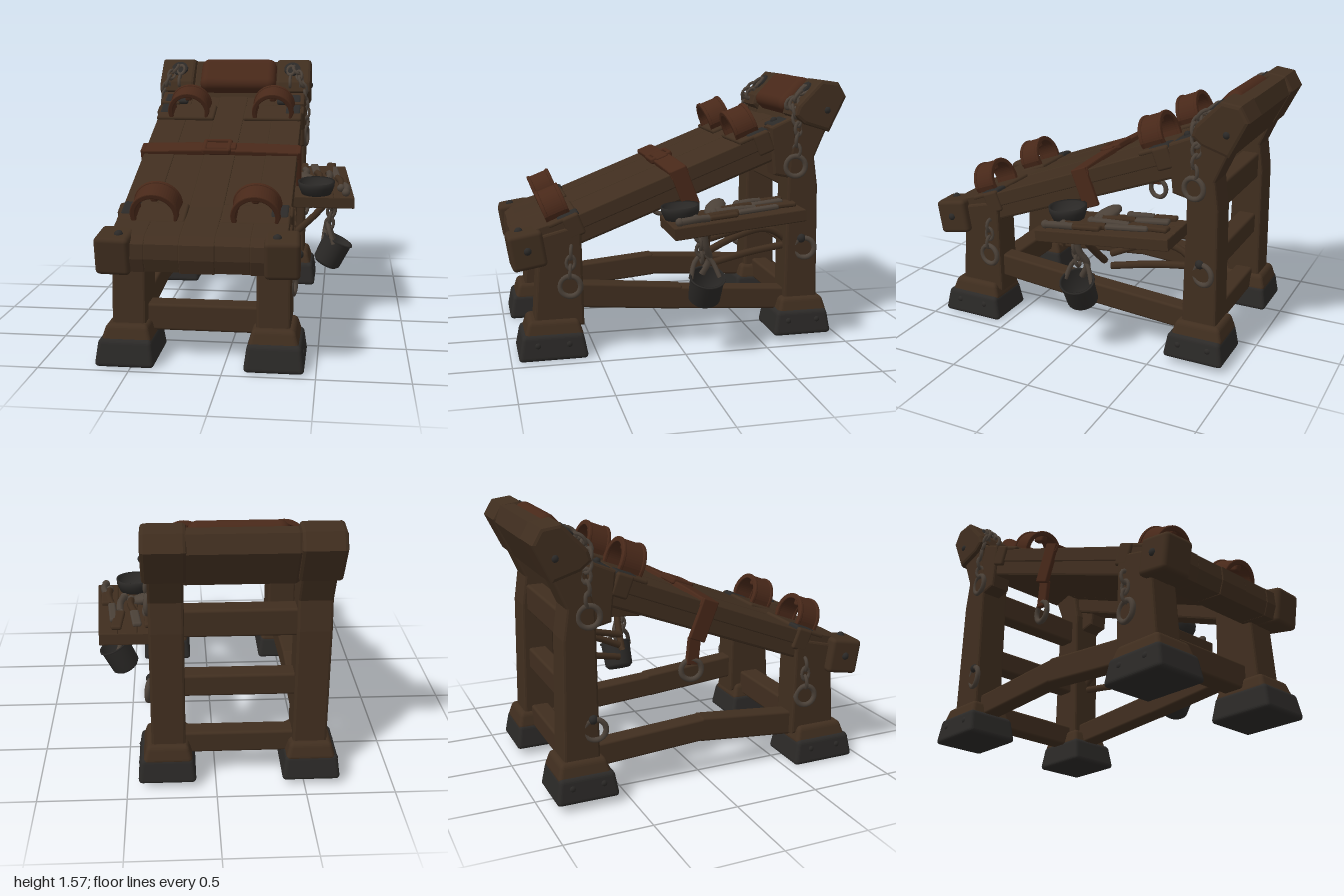
import * as THREE from 'three';
import { RoundedBoxGeometry } from 'three/addons/geometries/RoundedBoxGeometry.js';

const mat = (color) => new THREE.MeshStandardMaterial({ color, side: THREE.DoubleSide });
const WOOD = mat(0x402e1f), LEATHER = mat(0x482819), IRON = mat(0x2b2927), STEEL = mat(0x4b4138);
const CX = -0.13;      // centre line of the bench
const TILT = 0.374;    // slope of the deck

function add(parent, name, geo, material, x = 0, y = 0, z = 0, rx = 0, ry = 0, rz = 0) {
  const m = new THREE.Mesh(geo, material);
  m.name = name;
  m.position.set(x, y, z);
  m.rotation.set(rx, ry, rz);
  parent.add(m);
  return m;
}

const box = (w, h, d, r = 0.015) => new RoundedBoxGeometry(w, h, d, 2, Math.min(r, w / 2.1, h / 2.1, d / 2.1));
const knob = (r) => new THREE.SphereGeometry(r, 10, 8);

// Rounded box that narrows towards the top
function taperBox(w, h, d, sx, sz) {
  const g = new RoundedBoxGeometry(w, h, d, 3, 0.025), p = g.attributes.position;
  for (let i = 0; i < p.count; i++) {
    const t = p.getY(i) / h + 0.5;
    p.setX(i, p.getX(i) * (1 + (sx - 1) * t));
    p.setZ(i, p.getZ(i) * (1 + (sz - 1) * t));
  }
  g.computeVertexNormals();
  return g;
}

function extrude(shape, depth, bevel) {
  const g = new THREE.ExtrudeGeometry(shape, {
    depth: depth - 2 * bevel, bevelEnabled: true, bevelSize: bevel, bevelThickness: bevel,
    bevelOffset: -bevel, bevelSegments: 2, curveSegments: 14,
  });
  return g.translate(0, 0, bevel - depth / 2);
}

const poly = (pts) => new THREE.Shape(pts.map(([a, b]) => new THREE.Vector2(a, b)));

// Side outline given as [z, y], given a width along x
const sideProfile = (pts, width, bevel = 0.014) => extrude(poly(pts), width, bevel).rotateY(-Math.PI / 2);

const lathe = (pts) => new THREE.LatheGeometry(pts.map(([a, b]) => new THREE.Vector2(a, b)), 24);
const curve = (pts) => new THREE.CatmullRomCurve3(pts.map((p) => new THREE.Vector3(...p)));
const rod = (pts, r) => new THREE.TubeGeometry(curve(pts), 18, r, 7);
const ringGeo = () => new THREE.TorusGeometry(0.06, 0.016, 8, 22);

// Beam with a rectangular section between two points lying in one zy plane
function beam(parent, name, x, a, b, w, h) {
  const dz = b[0] - a[0], dy = b[1] - a[1];
  add(parent, name, box(w, h, Math.hypot(dz, dy)), WOOD, x, (a[1] + b[1]) / 2, (a[0] + b[0]) / 2, -Math.atan2(dy, dz));
}

// Links strung along a path, ending in an optional ring
function chain(parent, name, pts, count, ring) {
  const g = new THREE.Group(), c = curve(pts), up = new THREE.Vector3(0, 1, 0);
  g.name = name;
  for (let i = 0; i < count; i++) {
    const t = (i + 0.5) / count;
    const m = add(g, 'link', new THREE.TorusGeometry(0.028, 0.011, 6, 12).scale(0.9, 1.3, 1), STEEL, ...c.getPoint(t).toArray());
    m.quaternion.setFromUnitVectors(up, c.getTangent(t)).multiply(
      new THREE.Quaternion().setFromAxisAngle(up, i % 2 ? Math.PI / 2 : 0.2));
  }
  if (ring) {
    const e = pts[pts.length - 1];
    add(g, 'ring', ringGeo(), STEEL, e[0], e[1] - 0.06, e[2], 0, Math.PI / 2 - 0.15);
  }
  parent.add(g);
}

function buildSide(root, s) {
  const side = new THREE.Group(), x = CX + s * 0.395;
  side.name = s > 0 ? 'leftFrame' : 'rightFrame';
  root.add(side);
  // Feet: dark boot, wooden collar, rivets
  for (const [z, y] of [[0.758, 0.005], [-0.748, 0.045]]) {
    const d = z > 0 ? 0.405 : 0.365;
    add(side, 'footBoot', taperBox(0.33, 0.15, d, 0.88, 0.86), IRON, CX + s * 0.405, y + 0.075, z);
    add(side, 'footCollar', taperBox(0.285, 0.1, d * 0.86, 0.8, 0.82), WOOD, CX + s * 0.4, y + 0.173, z - 0.008);
    for (const o of [-0.09, 0.09]) add(side, 'footRivet', knob(0.024), IRON, CX + s * 0.542, y + 0.09, z + o);
  }
  // Legs
  add(side, 'frontLeg', sideProfile([[0.86, 0.18], [0.82, 0.72], [0.58, 0.78], [0.57, 0.18]], 0.185), WOOD, x, 0, 0);
  add(side, 'backLeg', sideProfile([[-0.65, 0.2], [-0.66, 1.1], [-0.72, 1.38], [-0.85, 1.52], [-0.97, 1.47],
    [-0.82, 1.12], [-0.845, 0.95], [-0.86, 0.2]], 0.19), WOOD, x, 0, 0);
  add(side, 'headBlock', sideProfile([[-0.68, 1.37], [-0.7, 1.43], [-0.84, 1.575], [-0.95, 1.56], [-1, 1.475],
    [-0.9, 1.27], [-0.74, 1.32]], 0.235, 0.02), WOOD, CX + s * 0.4, 0, 0);
  add(side, 'headBolt', knob(0.024), IRON, CX + s * 0.505, 1.4, -0.88);
  add(side, 'shoulderBracket', sideProfile([[-0.54, 1.3], [-0.68, 1.36], [-0.74, 1.05], [-0.66, 1], [-0.57, 1.02]], 0.13), WOOD, CX + s * 0.42, 0, 0);
  add(side, 'deckRail', sideProfile([[0.82, 0.57], [0.9, 0.7], [0.55, 0.82], [-0.68, 1.31], [-0.7, 1.15], [0.55, 0.67]], 0.13), WOOD, CX + s * 0.4, 0, 0);
  // Front corner block with bolts
  add(side, 'cornerBlock', box(0.19, 0.21, 0.2, 0.025), WOOD, CX + s * 0.445, 0.645, 0.893, 0.16, s * 0.05);
  add(side, 'cornerBolt', knob(0.025), IRON, CX + s * 0.42, 0.74, 0.93);
  add(side, 'cornerBolt', knob(0.025), IRON, CX + s * 0.53, 0.65, 0.89);
  // Sagging lower rail
  const [f, b] = s > 0 ? [0.35, 0.245] : [0.235, 0.25];
  beam(side, 'lowerRail', x, [0.62, f], [-0.02, 0.295], 0.11, 0.145);
  beam(side, 'lowerRail', x, [0.02, 0.295], [-0.7, b], 0.11, 0.135);
  // Chains and rings
  const o = CX + s * 0.49;
  chain(side, 'frontChain', [[o, 0.65, 0.64], [o, 0.56, 0.645], [o, 0.48, 0.65]], 3, true);
  chain(side, 'backChain', [[CX + s * 0.41, 1.53, -0.79], [CX + s * 0.46, 1.43, -0.69],
    [o, 1.3, -0.71], [o, 1.13, -0.7]], 8, true);
  chain(side, 'headHook', [[CX + s * 0.38, 1.52, -0.77], [CX + s * 0.38, 1.4, -0.67]], 2, false);
  add(side, 'chainPeg', new THREE.CylinderGeometry(0.055, 0.06, 0.03, 14), IRON, CX + s * 0.39, 1.51, -0.78, 0.8);
  add(side, 'legRing', ringGeo(), STEEL, o, s > 0 ? 0.57 : 0.43, s > 0 ? -0.77 : -0.68, 0, 1.3);
  add(side, 'legStaple', knob(0.028), IRON, CX + s * 0.485, s > 0 ? 0.63 : 0.49, s > 0 ? -0.75 : -0.69);
}

// Arched leather cuff on an iron-bound plate
function buildCuff(deck, s, z) {
  const g = new THREE.Group();
  g.name = 'cuff';
  g.position.set(s * 0.275 + 0.015, -0.014, z);
  deck.add(g);
  const arch = (ro, ri) => {
    const sh = new THREE.Shape();
    sh.moveTo(ro * 0.93, -0.02);
    sh.absarc(0, 0.063, ro, 0, Math.PI, false);
    sh.lineTo(-ro * 0.93, -0.02);
    sh.lineTo(-ri * 0.93, -0.02);
    sh.absarc(0, 0.063, ri, Math.PI, 0, true);
    sh.lineTo(ri * 0.93, -0.02);
    return sh;
  };
  add(g, 'cuffBand', extrude(arch(0.13, 0.109), 0.145, 0.006), LEATHER);
  for (const e of [-0.062, 0.062]) add(g, 'cuffRim', extrude(arch(0.136, 0.105), 0.022, 0.006), LEATHER, 0, 0, e);
  add(g, 'cuffLug', box(0.045, 0.05, 0.09), LEATHER, 0, 0.155, 0);
  add(g, 'cuffPlate', box(0.38, 0.03, 0.19), WOOD, s * 0.01 - 0.015, 0.018, -0.015);
  add(g, 'cuffPlateIron', box(0.1, 0.036, 0.13), IRON, s * 0.14 - 0.015, 0.02, -0.05);
  add(g, 'cuffPlateFlap', box(0.03, 0.13, 0.1), WOOD, s * 0.198 - 0.015, -0.035, -0.06);
}

function buildDeck(root) {
  // Planks running over the nose of the bench
  const n = 5, w = 0.94 / n;
  for (let i = 0; i < n; i++) {
    const d = [0, -0.003, 0.002, -0.002, 0.001][i];
    add(root, 'deckPlank', sideProfile([[0.95 + d, 0.545 - d], [0.975 + d, 0.62], [0.97 + d, 0.7], [0.92, 0.738], [0.6, 0.83 + d],
      [-0.68 - d, 1.33 + d], [-0.7 - d, 1.25], [0.6, 0.74], [0.78, 0.555]], w + 0.004, 0.006), WOOD, CX - 0.47 + w * (i + 0.5), 0, 0);
  }
  const deck = new THREE.Group();
  deck.name = 'deckFittings';
  deck.position.set(CX, 1.065, 0);
  deck.rotation.x = TILT;
  root.add(deck);
  for (const s of [-1, 1]) {
    for (const z of [-0.465, 0.745]) buildCuff(deck, s, z);
    add(deck, 'deckCornerPlate', box(0.16, 0.03, 0.11), IRON, s * 0.38, 0.012, -0.665);
    add(deck, 'deckCornerRivet', knob(0.02), IRON, s * 0.36, 0.028, -0.66);
    // Belt end hanging beside the rail
    add(deck, 'beltEnd', box(0.03, 0.24, 0.1, 0.008), LEATHER, s * 0.478, -0.1, 0.01);
  }
  // Belt over the deck, with buckle
  const belt = new THREE.Shape();
  belt.moveTo(-0.49, -0.03);
  belt.lineTo(-0.48, 0.018);
  belt.quadraticCurveTo(0, 0.04, 0.48, 0.018);
  belt.lineTo(0.49, -0.03);
  add(deck, 'belt', extrude(belt, 0.11, 0.008), LEATHER, 0, 0, 0.01);
  add(deck, 'beltLoop', box(0.2, 0.02, 0.075), LEATHER, 0, 0.03, 0.01);
  for (const x of [-0.075, 0.075]) add(deck, 'buckleBar', box(0.03, 0.04, 0.14), LEATHER, x - 0.02, 0.025, 0.01);
  for (const z of [-0.05, 0.07]) add(deck, 'buckleBar', box(0.17, 0.04, 0.025), LEATHER, -0.02, 0.025, z);
  // Loose belt tail with a ring on the far side
  add(root, 'beltTail', box(0.03, 0.16, 0.075, 0.008), LEATHER, CX - 0.455, 0.79, -0.08, 0.1);
  add(root, 'beltTailRing', ringGeo(), STEEL, CX - 0.455, 0.68, -0.09, 0, 1.4);
}

function buildTray(root) {
  const tray = new THREE.Group();
  tray.name = 'toolTray';
  tray.position.set(0, 0.8, -0.28);
  tray.rotation.x = 0.08;
  root.add(tray);
  // Tapering planks: the outer edge widens towards the front
  const edge = (k) => [[0.32 + 0.105 * k, -0.39], [0.32 + 0.124 * k, 0.393]];
  for (let i = 0; i < 3; i++) {
    const [a, b] = edge(i), [c, d] = edge(i + 1);
    add(tray, 'trayPlank', extrude(poly([a, c, d, b]), 0.07, 0.006).rotateX(Math.PI / 2), WOOD);
  }
  add(tray, 'bowl', lathe([[0, 0.012], [0.085, 0.012], [0.098, 0.075], [0.112, 0.08], [0.11, 0.05], [0.09, 0], [0, 0]]),
    IRON, 0.46, 0.032, 0.3);
  add(tray, 'whetstone', new THREE.SphereGeometry(0.1, 12, 8).scale(1, 0.35, 0.6), STEEL, 0.4, 0.055, 0.08, 0, -0.6, -0.3);
  // Hand tools: handle and flat blade
  const tools = [[0.37, -0.2, 0.28, 0.05], [0.45, -0.12, 0.4, 0.12], [0.53, -0.12, 0.48, -0.05], [0.585, 0, 0.5, 0.1], [0.63, 0.18, 0.34, 0.06]];
  tools.forEach(([x, z, len, yaw], i) => {
    const g = new THREE.Group();
    g.name = 'handTool';
    g.position.set(x, 0.055, z);
    g.rotation.y = yaw;
    tray.add(g);
    add(g, 'toolHandle', rod([[0, 0, len * 0.5], [0.012, 0.006, len * 0.25], [0, 0, 0]], 0.021), i % 2 ? WOOD : STEEL);
    add(g, 'toolBlade', box(0.044 + 0.008 * (i % 3), 0.028, len * 0.5, 0.012), i % 2 ? STEEL : WOOD, 0, 0, -len * 0.25);
    add(g, 'toolEnd', knob(0.025), STEEL, 0, 0, len * 0.5);
  });
  // Bent struts behind and under the tray
  add(root, 'trayStrut', rod([[0.28, 0.77, -0.7], [0.29, 0.71, -0.45], [0.31, 0.64, -0.17]], 0.022), WOOD);
  add(root, 'trayStrut', rod([[0.28, 0.58, -0.7], [0.29, 0.545, -0.45], [0.31, 0.49, -0.18]], 0.022), WOOD);
  add(root, 'trayStrut', rod([[0.28, 0.6, -0.69], [0.28, 0.66, -0.61], [0.29, 0.685, -0.52], [0.3, 0.65, -0.36], [0.31, 0.57, -0.18]], 0.022), WOOD);
  add(root, 'trayBracket', rod([[0.34, 0.53, -0.15], [0.45, 0.64, -0.13], [0.54, 0.75, -0.11]], 0.022), WOOD);
  // Hanging bucket
  const bucket = add(root, 'bucket', lathe([[0, -0.09], [0.07, -0.095], [0.088, -0.075], [0.093, 0.07], [0.1, 0.075],
    [0.098, 0.085], [0.086, 0.08], [0.078, -0.07], [0, -0.075]]), IRON, 0.562, 0.42, -0.1, 0, 0, -0.45);
  bucket.scale.z = 1.05;
  add(root, 'bucketHandle', rod([[0.51, 0.49, -0.09], [0.525, 0.58, -0.13], [0.56, 0.66, -0.1], [0.58, 0.76, -0.08]], 0.02), STEEL);
  add(root, 'bucketHandle', rod([[0.57, 0.48, -0.18], [0.54, 0.57, -0.14], [0.53, 0.61, -0.09], [0.54, 0.57, -0.04], [0.57, 0.48, -0.01]], 0.014), STEEL);
  chain(root, 'bucketChain', [[0.56, 0.75, -0.06], [0.55, 0.66, -0.07], [0.54, 0.58, -0.08]], 4, false);
}

export function createModel() {
  const root = new THREE.Group();
  root.name = 'restraintBench';
  for (const s of [-1, 1]) buildSide(root, s);
  buildDeck(root);
  // Cross rails between the legs
  add(root, 'frontCrossRail', box(0.66, 0.15, 0.13), WOOD, CX, 0.238, 0.71);
  for (const [y, h] of [[0.24, 0.13], [0.61, 0.13], [0.99, 0.16]]) {
    add(root, 'backCrossRail', box(0.66, h, 0.11), WOOD, CX, y, -0.76);
  }
  // Headboard and pillow
  add(root, 'headboard', sideProfile([[-0.7, 1.3], [-0.74, 1.4], [-0.87, 1.56], [-0.95, 1.555], [-0.985, 1.46], [-0.88, 1.25]], 0.62, 0.025), WOOD, CX + 0.01, 0, 0);
  add(root, 'pillow', new RoundedBoxGeometry(0.52, 0.25, 0.14, 5, 0.055), LEATHER, CX + 0.02, 1.46, -0.79, -0.75);
  buildTray(root);
  return root;
}
